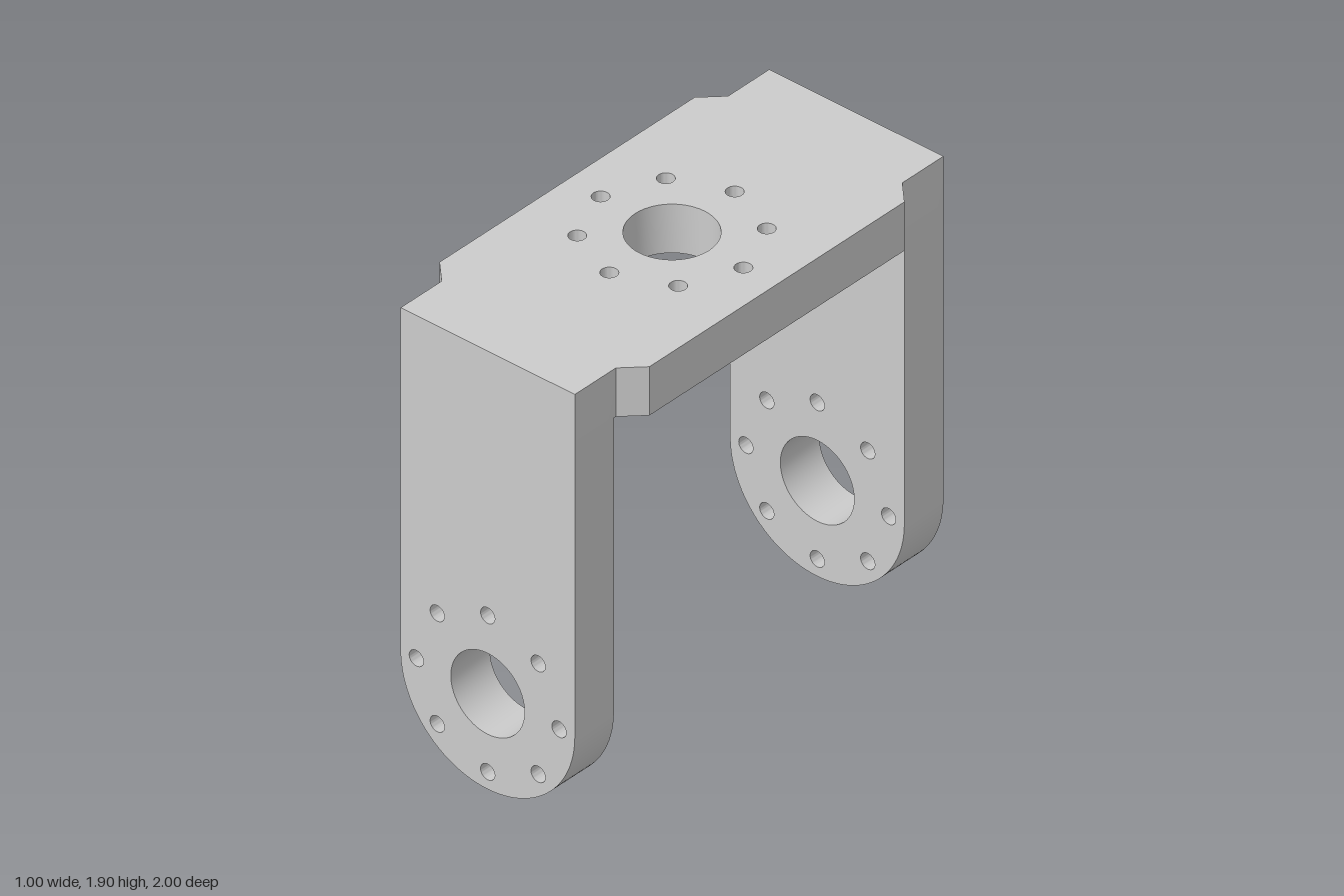
import * as THREE from 'three';
import { toCreasedNormals } from 'three/addons/utils/BufferGeometryUtils.js';

const HEIGHT = 1.905, THICK = 0.212, HALF_W = 0.415;
const INNER_Z = 1 - THICK;

function addHole(shape, x, y, r) {
  shape.holes.push(new THREE.Path().absarc(x, y, r, 0, Math.PI * 2, true));
}

// Central bore surrounded by a ring of eight bolt holes
function addHolePattern(shape, x, y) {
  addHole(shape, x, y, 0.176);
  for (let i = 0; i < 8; i++) {
    const a = (i * Math.PI) / 4;
    addHole(shape, x + 0.34 * Math.cos(a), y + 0.34 * Math.sin(a), 0.034);
  }
}

function extrude(shape) {
  const geometry = new THREE.ExtrudeGeometry(shape, { depth: THICK, bevelEnabled: false, curveSegments: 24 });
  return toCreasedNormals(geometry, 0.5);
}

export function createModel() {
  const group = new THREE.Group();
  group.name = 'bracket';
  const material = new THREE.MeshStandardMaterial({ color: 0xcccccc });

  // Arm: straight sides, square top, round lower end
  const armShape = new THREE.Shape();
  armShape.moveTo(HALF_W, HEIGHT);
  armShape.lineTo(-HALF_W, HEIGHT);
  armShape.lineTo(-HALF_W, HALF_W);
  armShape.absarc(0, HALF_W, HALF_W, Math.PI, Math.PI * 2, false);
  armShape.closePath();
  addHolePattern(armShape, 0, HALF_W);
  const armGeometry = extrude(armShape);

  for (const [name, z] of [['frontArm', INNER_Z], ['backArm', -1]]) {
    const arm = new THREE.Mesh(armGeometry, material);
    arm.name = name;
    arm.position.z = z;
    group.add(arm);
  }

  // Top plate: wider middle with chamfered shoulders, joined to the arms
  const quarter = [[0.5, 0.692], [HALF_W, 0.777], [HALF_W, INNER_Z]];
  const mirrored = [...quarter].reverse();
  const plateShape = new THREE.Shape([
    ...quarter,
    ...mirrored.map(([x, y]) => [-x, y]),
    ...quarter.map(([x, y]) => [-x, -y]),
    ...mirrored.map(([x, y]) => [x, -y]),
  ].map(([x, y]) => new THREE.Vector2(x, y)));
  addHolePattern(plateShape, 0, 0);

  const plate = new THREE.Mesh(extrude(plateShape), material);
  plate.name = 'topPlate';
  plate.rotation.x = -Math.PI / 2;
  plate.position.y = HEIGHT - THICK;
  group.add(plate);

  return group;
}
